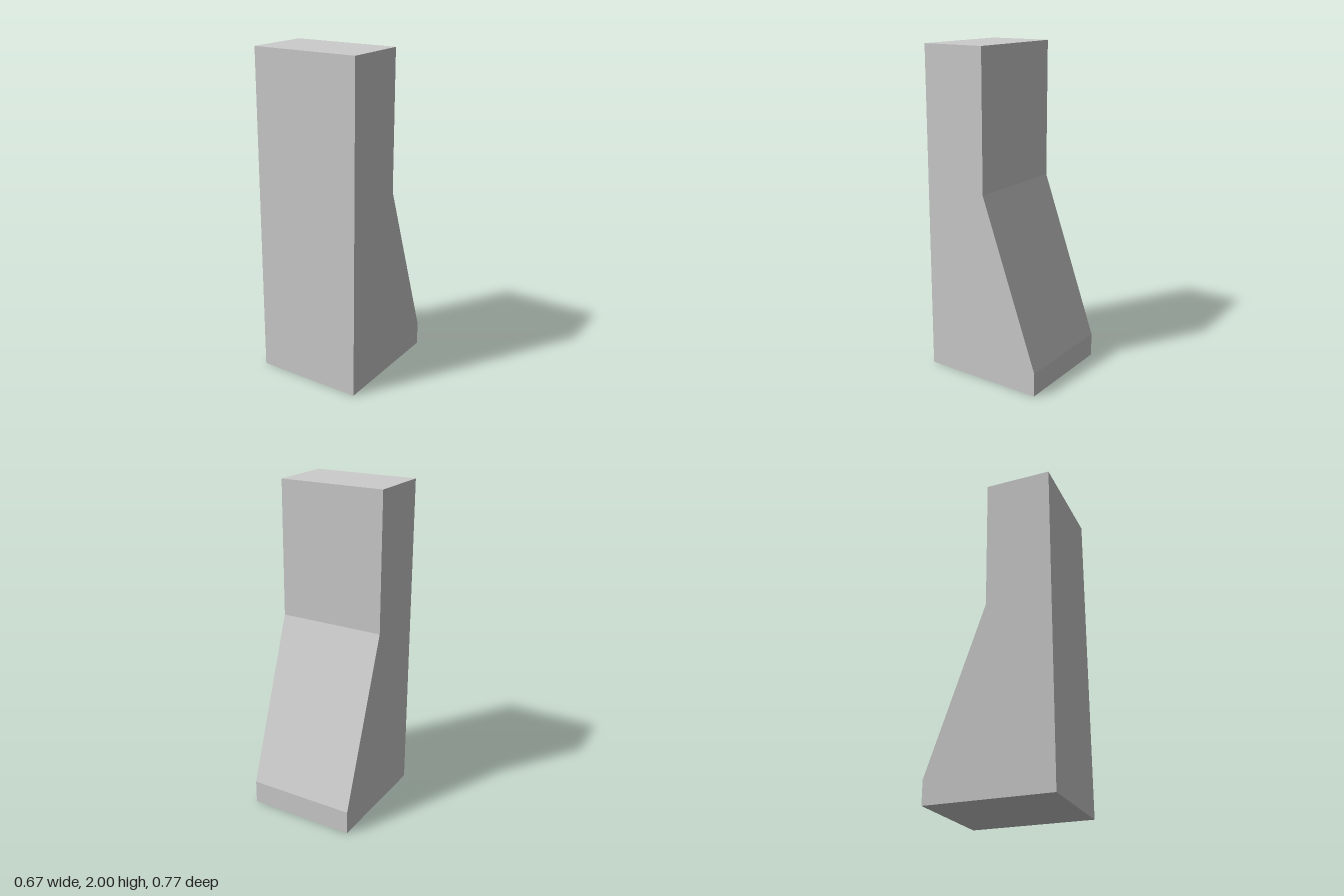
import * as THREE from 'three';

const HALF_WIDTH = 0.334;
const HALF_DEPTH = 0.385;

export function createModel() {
  const group = new THREE.Group();
  group.name = 'buttressedPillar';

  // Side profile as (-z, y): upright front slab with a sloped buttress behind
  const profile = new THREE.Shape([
    [-HALF_DEPTH, 0],
    [HALF_DEPTH, 0],
    [HALF_DEPTH, 0.145],
    [0.022, 1.16],
    [0.022, 2],
    [-HALF_DEPTH, 2],
  ].map(([x, y]) => new THREE.Vector2(x, y)));

  // Extrude across the width, centre it, and turn the profile to face sideways
  const geometry = new THREE.ExtrudeGeometry(profile, {
    depth: HALF_WIDTH * 2,
    bevelEnabled: false,
  });
  geometry.translate(0, 0, -HALF_WIDTH);
  geometry.rotateY(Math.PI / 2);

  const pillar = new THREE.Mesh(
    geometry,
    new THREE.MeshStandardMaterial({ color: 0xcccccc, flatShading: true }),
  );
  pillar.name = 'pillar';
  group.add(pillar);

  return group;
}
